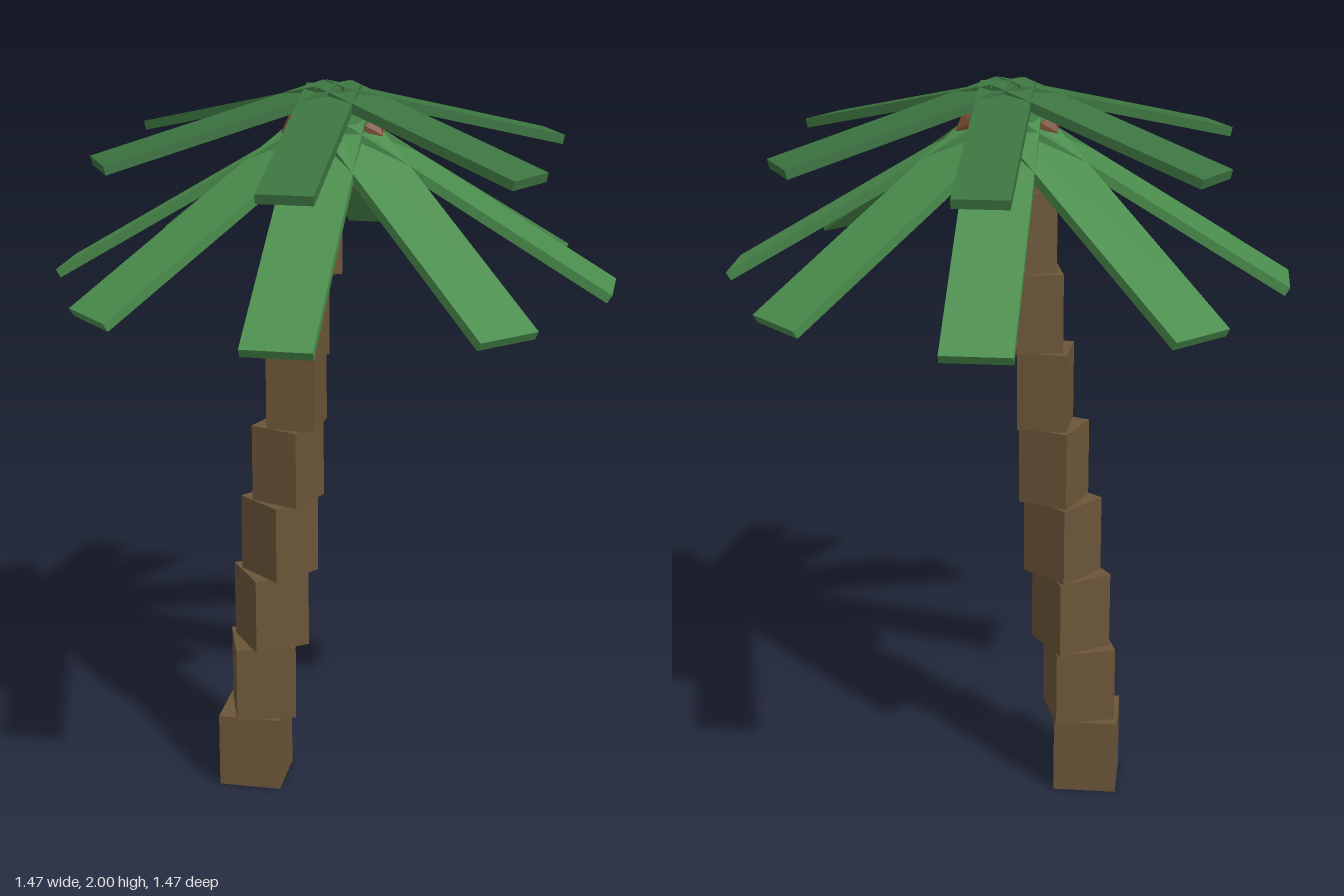
import * as THREE from 'three';

const mat = (name, color) => {
  const m = new THREE.MeshStandardMaterial({ color });
  m.name = name;
  return m;
};

export function createModel() {
  const bark = mat('bark brown', 0x6b5538);
  const nut = mat('nut brown', 0x74492c);
  const lightLeaf = mat('light leaf green', 0x4a8c4c);
  const darkLeaf = mat('dark leaf green', 0x3c7440);

  const palm = new THREE.Group();
  palm.name = 'palmTree';

  // Leaning trunk: stacked blocks that shrink and twist towards the crown
  const trunk = new THREE.Group();
  trunk.name = 'trunk';
  const step = 0.215;
  for (let i = 0; i < 9; i++) {
    const size = 0.175 - 0.0083 * i;
    const block = new THREE.Mesh(new THREE.BoxGeometry(size, step, size), bark);
    block.name = 'trunkBlock';
    block.position.set(-0.227 + 0.025 * i, step * (i + 0.5), 0);
    block.rotation.y = 0.3 * i;
    trunk.add(block);
  }
  palm.add(trunk);

  // Ring of drooping plank leaves, each starting on the crown axis
  const addLeaves = (name, { count, start, y, length, width, droop, material }) => {
    const ring = new THREE.Group();
    ring.name = name;
    ring.position.y = y;
    const geometry = new THREE.BoxGeometry(length, 0.025, width);
    geometry.translate(length / 2, 0, 0);
    geometry.rotateZ(-droop);
    for (let i = 0; i < count; i++) {
      const leaf = new THREE.Mesh(geometry, material);
      leaf.name = 'leaf';
      leaf.rotation.y = start + (i * Math.PI * 2) / count;
      ring.add(leaf);
    }
    palm.add(ring);
  };
  addLeaves('lowerLeaves', {
    count: 8, start: 0, y: 1.925, length: 0.852, width: 0.177, droop: 0.54, material: lightLeaf,
  });
  addLeaves('upperLeaves', {
    count: 6, start: Math.PI / 6, y: 1.988, length: 0.644, width: 0.14, droop: 0.25, material: darkLeaf,
  });

  // Small faceted nuts tucked under the crown
  const nuts = new THREE.Group();
  nuts.name = 'nuts';
  const nutGeometry = new THREE.IcosahedronGeometry(0.05, 0);
  for (let i = 0; i < 4; i++) {
    const a = (i * Math.PI) / 2;
    const mesh = new THREE.Mesh(nutGeometry, nut);
    mesh.name = 'nut';
    mesh.position.set(Math.cos(a) * 0.09, 1.875, Math.sin(a) * 0.09);
    nuts.add(mesh);
  }
  palm.add(nuts);

  return palm;
}
